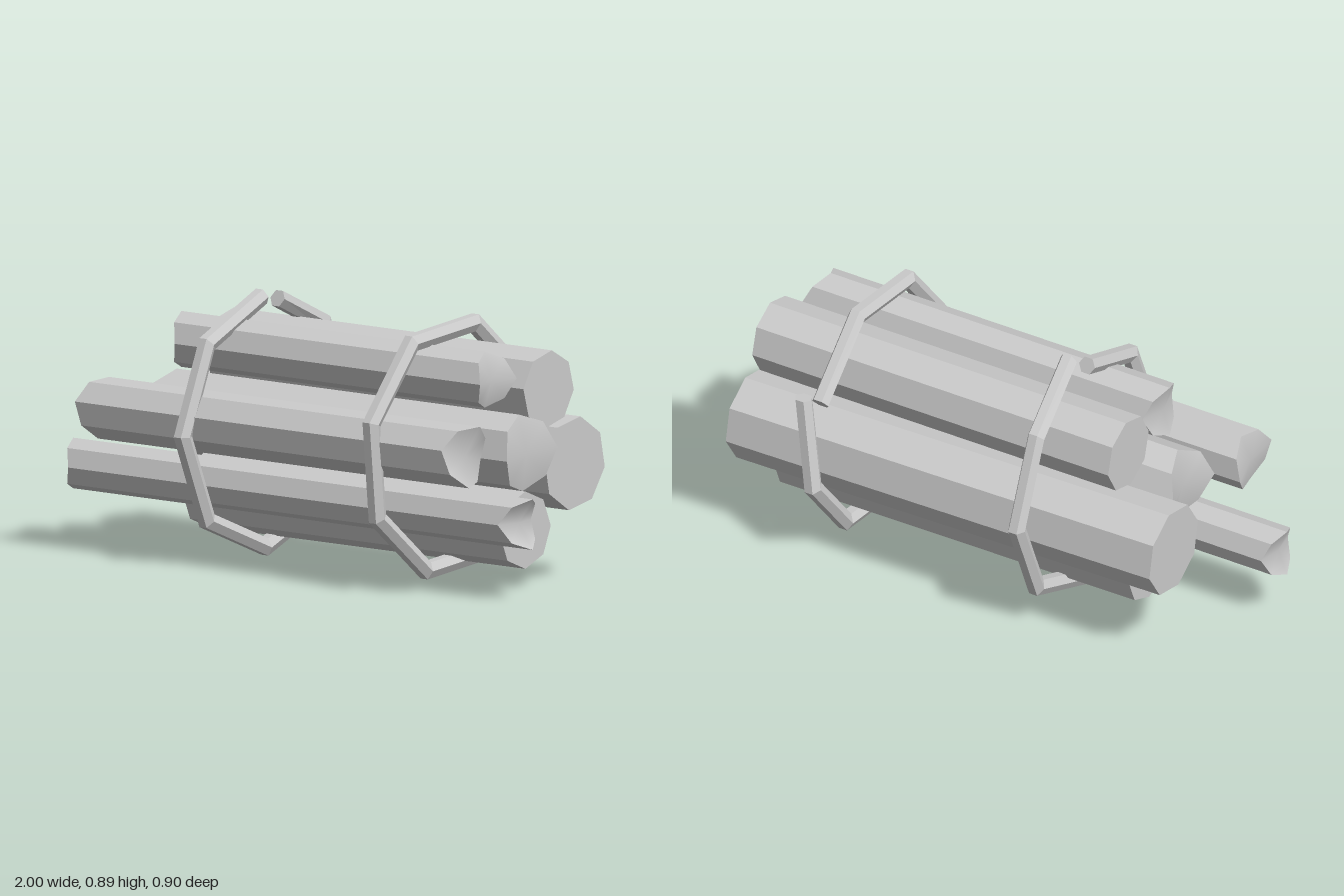
import * as THREE from 'three';
import { mergeGeometries } from 'three/addons/utils/BufferGeometryUtils.js';

const material = new THREE.MeshStandardMaterial({ color: 0xcccccc });

// End cap: smooth fan around a centre point
function cap(ring, centre, flip) {
  const g = new THREE.BufferGeometry().setFromPoints([centre, ...ring]);
  const n = ring.length, index = [];
  for (let i = 0; i < n; i++) {
    const a = 1 + i, b = 1 + (i + 1) % n;
    index.push(0, ...(flip ? [b, a] : [a, b]));
  }
  g.setIndex(index);
  g.computeVertexNormals();
  return g.toNonIndexed();
}

// Faceted skin over rings of points that run counter-clockwise about the path
function loft(rings, startCentre, endCentre) {
  const pts = [];
  for (let k = 0; k < rings.length - 1; k++) {
    const p = rings[k], q = rings[k + 1], n = p.length;
    for (let i = 0; i < n; i++) {
      const j = (i + 1) % n;
      pts.push(p[i], p[j], q[j], p[i], q[j], q[i]);
    }
  }
  const skin = new THREE.BufferGeometry().setFromPoints(pts);
  skin.computeVertexNormals();
  return mergeGeometries([
    skin,
    cap(rings[0], startCentre, true),
    cap(rings[rings.length - 1], endCentre, false),
  ]);
}

// Eight-sided log along x; each end is [x, y, z, saddle amount, centre offset in x]
function log(name, radius, turn, left, right) {
  const ring = ([x, y, z, saddle], side) => Array.from({ length: 8 }, (_, i) => {
    const a = i * Math.PI / 4, t = a + THREE.MathUtils.degToRad(turn);
    return new THREE.Vector3(x + side * saddle * Math.cos(2 * a),
      y + radius * Math.cos(t), z + radius * Math.sin(t));
  });
  const centre = ([x, y, z, , dip]) => new THREE.Vector3(x + dip, y, z);
  const mesh = new THREE.Mesh(
    loft([ring(left, -1), ring(right, 1)], centre(left), centre(right)), material);
  mesh.name = name;
  return mesh;
}

// Open octagonal hoop of six-sided rope whose two ends pass each other in x
function strap(name, x, startX, endX, startDeg) {
  const R = 0.42, r = 0.031, cy = 0.457, step = Math.PI / 4;
  const rings = [], centres = [];
  for (let k = 0; k <= 8; k++) {
    const a = THREE.MathUtils.degToRad(startDeg) + k * step;
    const isEnd = k === 0 || k === 8;
    const px = k === 0 ? startX : k === 8 ? endX : x;
    // square-cut ends, mitred corners
    const na = k === 0 ? a + step / 2 : k === 8 ? a - step / 2 : a;
    const stretch = isEnd ? 1 : 1 / Math.cos(step / 2);
    const c = new THREE.Vector3(px, cy + R * Math.cos(a), R * Math.sin(a));
    centres.push(c);
    rings.push(Array.from({ length: 6 }, (_, i) => {
      const t = i * Math.PI / 3, v = r * stretch * Math.sin(t);
      return new THREE.Vector3(c.x + r * Math.cos(t),
        c.y + v * Math.cos(na), c.z + v * Math.sin(na));
    }));
  }
  const mesh = new THREE.Mesh(loft(rings, centres[0], centres[8]), material);
  mesh.name = name;
  return mesh;
}

export function createModel() {
  const group = new THREE.Group();
  group.name = 'logBundle';
  group.add(
    // Thin logs with split, saddle-shaped ends
    log('topFrontLog', 0.094, 0, [-0.555, 0.72, 0.11, 0.025, 0], [0.77, 0.72, 0.11, -0.03, 0]),
    log('frontLog', 0.104, -16, [-0.78, 0.493, 0.297, -0.02, 0], [0.825, 0.493, 0.297, 0.03, -0.01]),
    log('longLog', 0.085, 0, [-0.975, 0.267, 0.17, 0.025, 0.01], [0.96, 0.267, 0.17, 0.04, -0.02]),
    log('middleLog', 0.13, 4, [-0.67, 0.48, 0.06, -0.035, 0.01], [0.88, 0.48, 0.06, -0.025, 0]),
    // Thick logs with nearly flat ends
    log('topBackLog', 0.13, -7, [-0.555, 0.67, -0.112, 0, 0], [0.83, 0.67, -0.112, 0, 0]),
    log('backLog', 0.157, -11, [-0.785, 0.415, -0.2, 0, 0], [0.85, 0.41, -0.222, 0, 0]),
    log('bottomLog', 0.13, 0, [-0.59, 0.2, -0.038, 0, 0], [0.785, 0.2, -0.046, 0, 0]),
    // Rope hoops
    strap('rightStrap', -0.31, -0.325, -0.255, 0),
    strap('leftStrap', 0.495, 0.485, 0.55, -62),
  );
  return group;
}
